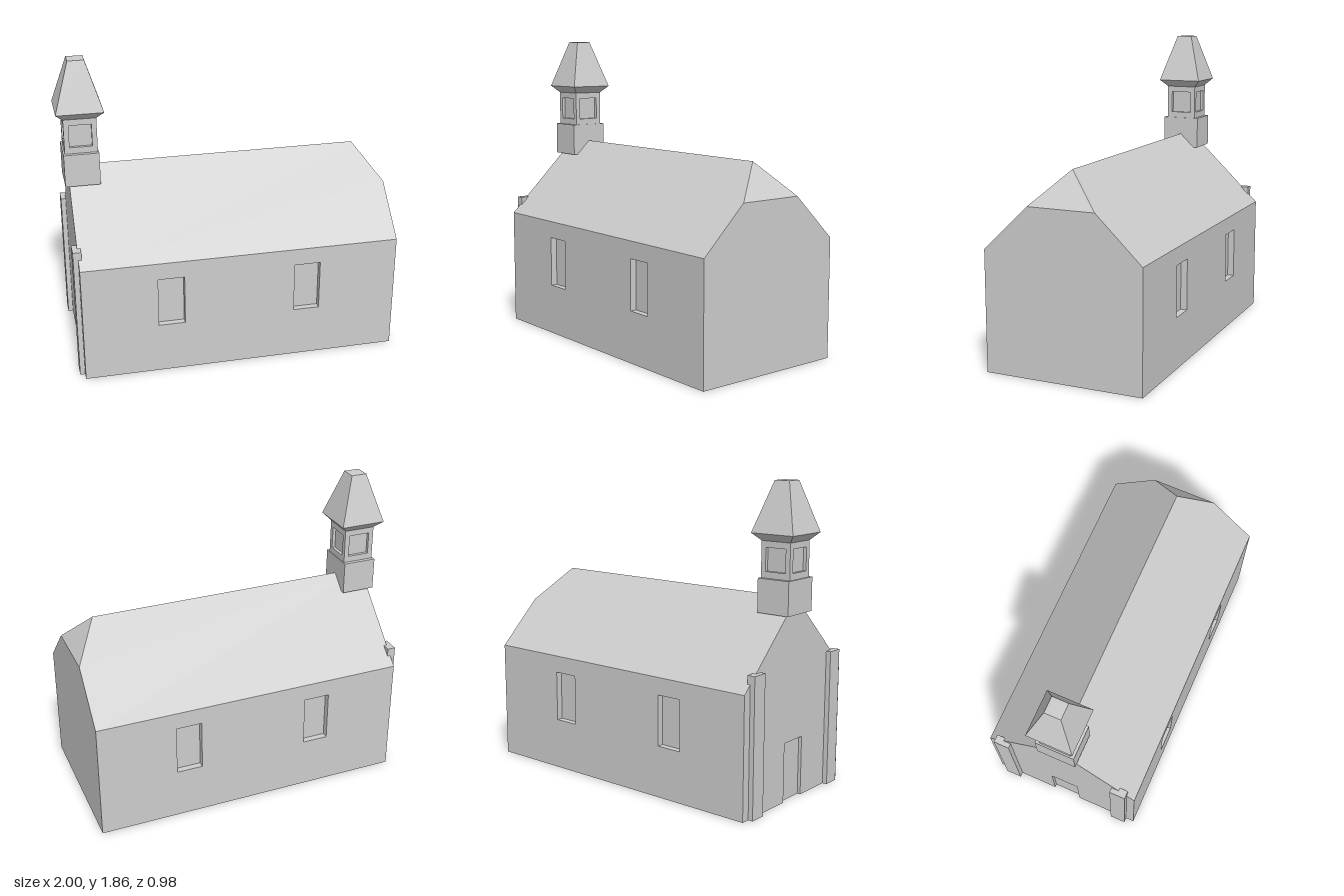
import * as THREE from 'three';
import { mergeGeometries } from 'three/addons/utils/BufferGeometryUtils.js';

const stone = new THREE.MeshStandardMaterial({ color: 0xcccccc });
stone.name = 'pale grey';

const WEST = -0.94, EAST = 1, HALF = 0.49, EAVE = 0.73, RIDGE = 1.2;
const HIP_X = 0.85, HIP_Y = 1.0, HIP_Z = HALF * (RIDGE - HIP_Y) / (RIDGE - EAVE);
const DOOR = 0.09, DOOR_H = 0.36, DOOR_D = 0.02;

const shapeOf = (pts) => new THREE.Shape(pts.map(([x, y]) => new THREE.Vector2(x, y)));
const rect = (x0, y0, x1, y1) => [[x0, y0], [x1, y0], [x1, y1], [x0, y1]];

function flat(geometry) {
  const g = geometry.index ? geometry.toNonIndexed() : geometry;
  g.computeVertexNormals();
  return g;
}

// Inward-facing niche behind a rectangular opening; the front is left open
function niche([x0, y0, x1, y1], depth) {
  const g = new THREE.BoxGeometry(x1 - x0, y1 - y0, depth);
  g.translate((x0 + x1) / 2, (y0 + y1) / 2, -depth / 2);
  const src = Array.from(g.index.array);
  const index = [];
  for (let i = 0; i < 36; i += 3) {
    const face = Math.floor(i / 6);
    if (face === 4 || (face === 3 && y0 === 0)) continue; // front, and a door's threshold
    index.push(src[i], src[i + 2], src[i + 1]);
  }
  g.setIndex(index);
  g.clearGroups();
  return flat(g);
}

// Wall facing +z, with recessed openings; those on the ground are cut in the outline
function wall(outline, openings = [], depth = 0.04) {
  const shape = shapeOf(outline);
  for (const o of openings) {
    if (o[1] > 0) shape.holes.push(new THREE.Path(shapeOf(rect(...o)).getPoints().reverse()));
  }
  return mergeGeometries([flat(new THREE.ShapeGeometry(shape)), ...openings.map((o) => niche(o, depth))]);
}

// Convex flat face, corners counter-clockwise from outside
function face(pts) {
  const pos = [];
  for (let i = 1; i < pts.length - 1; i++) pos.push(...pts[0], ...pts[i], ...pts[i + 1]);
  const g = new THREE.BufferGeometry();
  g.setAttribute('position', new THREE.Float32BufferAttribute(pos, 3));
  g.computeVertexNormals();
  return g;
}

// Square frustum given by its half widths
function frustum(bottom, top, y0, y1) {
  const g = new THREE.CylinderGeometry(top * Math.SQRT2, bottom * Math.SQRT2, y1 - y0, 4);
  return flat(g.rotateY(Math.PI / 4).translate(0, (y0 + y1) / 2, 0));
}

export function createModel() {
  const model = new THREE.Group();
  model.name = 'chapel';
  const add = (name, geometry, parent = model) => {
    const mesh = new THREE.Mesh(geometry, stone);
    mesh.name = name;
    parent.add(mesh);
    return mesh;
  };

  // Long walls with two recessed windows each
  const windows = [[-0.485, 0.315, -0.325, 0.625], [0.355, 0.315, 0.515, 0.625]];
  add('frontWall', wall(rect(WEST, 0, EAST, EAVE), windows).translate(0, 0, HALF));
  const mirrored = windows.map(([x0, y0, x1, y1]) => [-x1, y0, -x0, y1]);
  add('backWall', wall(rect(-EAST, 0, -WEST, EAVE), mirrored).rotateY(Math.PI).translate(0, 0, -HALF));

  // Entrance gable with a shallow doorway
  const gable = [[-HALF, 0], [-DOOR, 0], [-DOOR, DOOR_H], [DOOR, DOOR_H], [DOOR, 0],
    [HALF, 0], [HALF, EAVE], [0, RIDGE], [-HALF, EAVE]];
  add('entranceGable', wall(gable, [[-DOOR, 0, DOOR, DOOR_H]], DOOR_D)
    .rotateY(-Math.PI / 2).translate(WEST, 0, 0));

  // Clipped far gable
  const clipped = [[-HALF, 0], [HALF, 0], [HALF, EAVE], [HIP_Z, HIP_Y], [-HIP_Z, HIP_Y], [-HALF, EAVE]];
  add('farGable', wall(clipped).rotateY(Math.PI / 2).translate(EAST, 0, 0));

  // Floor, notched at the doorway
  const floor = [[WEST, -HALF], [EAST, -HALF], [EAST, HALF], [WEST, HALF], [WEST, DOOR],
    [WEST + DOOR_D, DOOR], [WEST + DOOR_D, -DOOR], [WEST, -DOOR]];
  add('floor', new THREE.ShapeGeometry(shapeOf(floor)).rotateX(Math.PI / 2));

  // Roof slopes and the small hip
  for (const s of [1, -1]) {
    const slope = [[WEST, EAVE, s * HALF], [EAST, EAVE, s * HALF], [EAST, HIP_Y, s * HIP_Z],
      [HIP_X, RIDGE, 0], [WEST, RIDGE, 0]];
    add(s > 0 ? 'frontRoof' : 'backRoof', face(s > 0 ? slope : slope.reverse()));
  }
  add('roofHip', face([[EAST, HIP_Y, HIP_Z], [EAST, HIP_Y, -HIP_Z], [HIP_X, RIDGE, 0]]));

  // Buttresses beside the entrance
  for (const s of [1, -1]) {
    add('buttress', new THREE.BoxGeometry(0.05, 0.83, 0.1)).position.set(-0.945, 0.415, s * 0.388);
  }

  // Bell tower
  const tower = new THREE.Group();
  tower.name = 'bellTower';
  tower.position.x = -0.858;
  model.add(tower);
  add('towerBase', new THREE.BoxGeometry(0.21, 0.2, 0.242), tower).position.set(-0.002, 1.21, 0);

  // Belfry with a recessed opening on each side
  const w = 0.0975;
  for (let i = 0; i < 4; i++) {
    const side = wall(rect(-w, 1.31, w, 1.525), [[-0.067, 1.348, 0.067, 1.485]], 0.02);
    add('belfrySide', side.translate(0, 0, w).rotateY(i * Math.PI / 2), tower);
  }

  // Flared eaves and blunt spire
  add('spireEaves', frustum(w, 0.141, 1.522, 1.566), tower);
  add('spire', frustum(0.141, 0.049, 1.566, 1.86), tower);
  return model;
}
